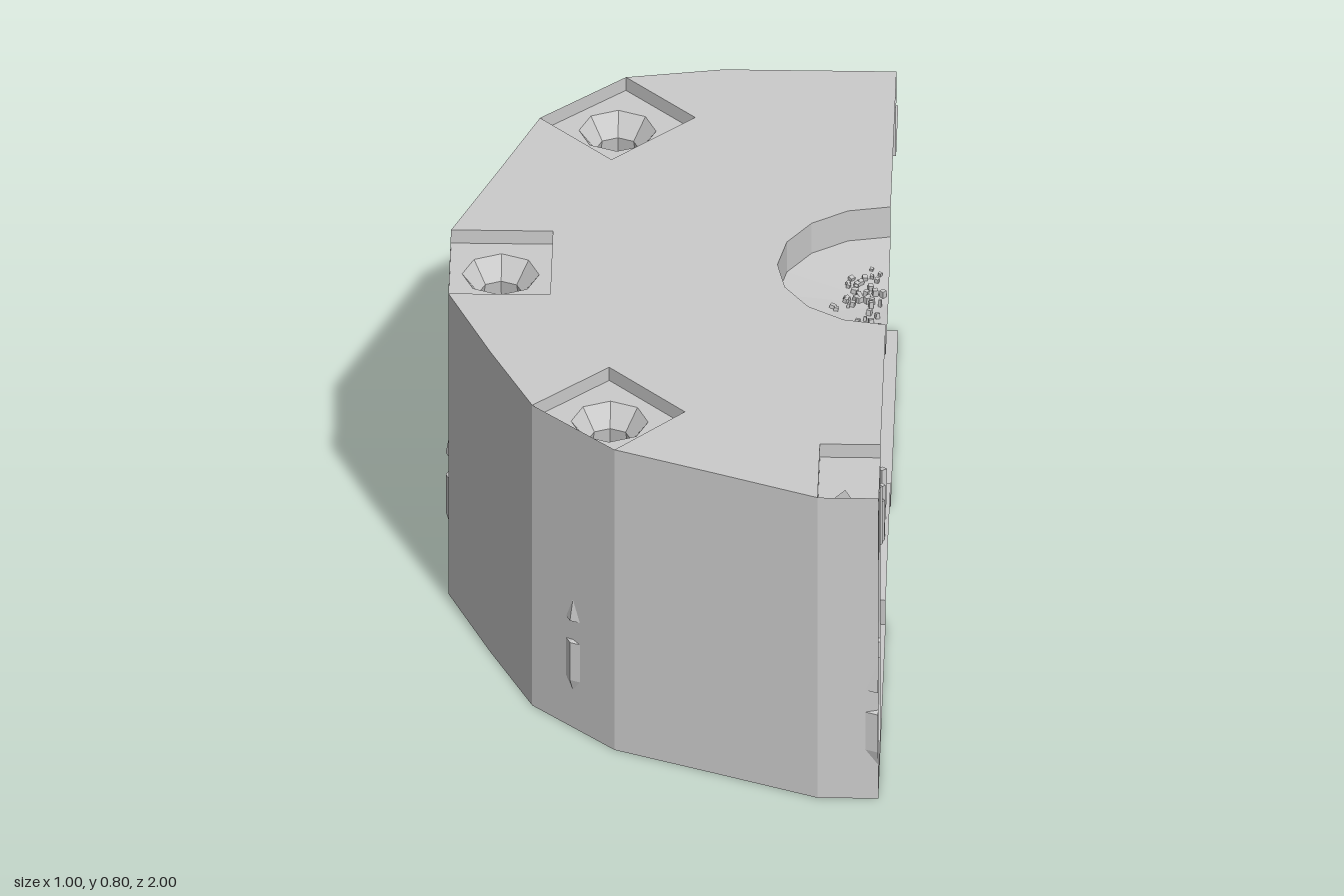
import * as THREE from 'three';

const H = 0.8, CUT = 0.5;
const mat = new THREE.MeshStandardMaterial({ color: 0xcccccc, flatShading: true, side: THREE.DoubleSide });

function add(parent, name, geometry, x = 0, y = 0, z = 0) {
  const mesh = new THREE.Mesh(geometry, mat);
  mesh.name = name;
  mesh.position.set(x, y, z);
  parent.add(mesh);
  return mesh;
}

// Upright wall following a plan path of [x, z] points
function wall(path, y0, y1) {
  const pos = [];
  for (let i = 0; i + 1 < path.length; i++) {
    const [ax, az] = path[i], [bx, bz] = path[i + 1];
    pos.push(ax, y0, az, bx, y0, bz, bx, y1, bz, ax, y0, az, bx, y1, bz, ax, y1, az);
  }
  const g = new THREE.BufferGeometry();
  g.setAttribute('position', new THREE.Float32BufferAttribute(pos, 3));
  g.computeVertexNormals();
  return g;
}

// Level sheet from a plan outline, with an optional hole
function sheet(outline, hole) {
  const toVec = ([x, z]) => new THREE.Vector2(x, z);
  const shape = new THREE.Shape(outline.map(toVec));
  if (hole) shape.holes.push(new THREE.Path(hole.map(toVec)));
  return new THREE.ShapeGeometry(shape).rotateX(Math.PI / 2);
}

// Points of an arc in plan, on the -x side of the centre when a runs PI/2..3PI/2
function arc(cx, cz, r, a0, a1, n) {
  return Array.from({ length: n + 1 }, (_, i) => {
    const a = a0 + (a1 - a0) * i / n;
    return [cx + r * Math.cos(a), cz + r * Math.sin(a)];
  });
}

// Square shafts built into the wall: outer corner, two inner corners, outer corner
const shafts = [
  { c: [-0.125, -0.615], q: [[-0.11, -0.787], [0.05, -0.62], [-0.135, -0.437], [-0.3, -0.61]] },
  { c: [-0.375, 0], q: [[-0.49, -0.13], [-0.26, -0.13], [-0.26, 0.14], [-0.49, 0.14]] },
  { c: [-0.115, 0.62], q: [[-0.29, 0.61], [-0.12, 0.445], [0.055, 0.63], [-0.1, 0.795]] },
];
const cutShaft = { c: [CUT, 0.876], q: [[0.363, 0.988], [0.363, 0.76], [CUT, 0.76], [CUT, 0.988]] };

// Octagonal column profile, radius and height
const columnProfile = [
  [0, 0.03], [0.085, 0.03], [0.1, 0.05], [0.124, 0.13], [0.124, 0.23], [0.108, 0.238], [0.108, 0.28],
  [0.124, 0.288], [0.05, 0.715], [0.087, 0.765],
].map(([r, y]) => new THREE.Vector2(r, y));

function rng(seed) {
  return () => (seed = (seed * 16807) % 2147483647) / 2147483647;
}

// Cluster of thin splayed crystals in a half disc; dir is 1 upward, -1 downward
function crystals(name, y, dir, seed, reach) {
  const group = new THREE.Group();
  group.name = name;
  const rand = rng(seed);
  for (let i = 0; i < 46; i++) {
    const r = 0.13 * Math.sqrt(rand()), a = Math.PI / 2 + Math.PI * rand();
    const x = r * Math.cos(a), z = r * Math.sin(a);
    const len = reach(r, rand(), i), w = 0.006 + 0.006 * rand();
    const g = new THREE.CylinderGeometry(w, w * 0.7, len, 4).translate(0, len / 2, 0);
    const m = add(group, 'crystal', g, CUT - 0.012 + x * 0.9, y, z);
    m.quaternion.setFromUnitVectors(new THREE.Vector3(0, 1, 0),
      new THREE.Vector3(x * 2, dir, z * 2).normalize());
  }
  return group;
}

export function createModel() {
  const model = new THREE.Group();
  const [s0, s1, s2] = shafts;

  // Plan of the outer wall from the door jamb round to the front cut
  const between01 = [-0.39, -0.38], between12 = [-0.39, 0.385], between23 = [0.13, 0.89];
  const outer = [
    [0.11, -0.825], s0.q[0], s0.q[3], between01, s1.q[0], s1.q[3], between12,
    s2.q[0], s2.q[3], between23, cutShaft.q[0], cutShaft.q[3],
  ];
  add(model, 'outerWall', wall(outer, 0, H));

  // Floor and ceiling, with a half-round opening along the cut
  const round = arc(CUT, 0, 0.25, Math.PI / 2, Math.PI * 1.5, 8);
  add(model, 'floor', sheet([
    ...round, [CUT, -1], [0.26, -1], [0.26, -0.785], [0.11, -0.785], ...outer,
  ]));
  add(model, 'ceiling', sheet([
    ...round, [CUT, -0.825], [0.11, -0.825], ...s0.q, between01, ...s1.q, between12, ...s2.q,
    between23, ...cutShaft.q.slice(0, 3),
  ]), 0, H);

  // Shafts, their sunken plates and the columns inside
  for (const s of [...shafts, cutShaft]) {
    const half = s === cutShaft;
    const group = new THREE.Group();
    group.name = half ? 'cutColumnBay' : 'columnBay';
    add(group, 'shaftWalls', wall(half ? s.q.slice(0, 3) : s.q, 0, H));
    const [cx, cz] = s.c;
    const plate = half
      ? sheet([...s.q, ...arc(cx, cz, 0.087, Math.PI / 2, Math.PI * 1.5, 4).map(([x, z]) => [Math.min(x, CUT), z])])
      : sheet(s.q, arc(cx, cz, 0.087, 0, Math.PI * 1.75, 7));
    add(group, 'capitalPlate', plate, 0, 0.765);
    add(group, 'column', half
      ? new THREE.LatheGeometry(columnProfile, 4, Math.PI, Math.PI)
      : new THREE.LatheGeometry(columnProfile, 8), cx, 0, cz);
    model.add(group);
  }

  // Doorway: recessed wall, header, lintel and passage
  const door = new THREE.Group();
  door.name = 'doorway';
  const zIn = -0.785, zLip = -0.825;
  add(door, 'recessWall', wall([[0.11, zLip], [0.11, zIn], [0.26, zIn]], 0, 0.73));
  add(door, 'header', wall([[0.26, zIn], [CUT, zIn]], 0.6, 0.73));
  add(door, 'lintel', wall([[0.11, zLip], [CUT, zLip]], 0.73, H));
  add(door, 'lintelUnderside', sheet([[0.11, zLip], [CUT, zLip], [CUT, zIn], [0.11, zIn]]), 0, 0.73);
  add(door, 'passageWall', wall([[0.26, zIn], [0.26, -1]], 0, 0.6));
  add(door, 'passageCeiling', sheet([[0.26, zIn], [CUT, zIn], [CUT, -1], [0.26, -1]]), 0, 0.6);
  model.add(door);

  // Raised half-round dais and matching sunken ceiling disc, both slightly conical
  const cone = (rt, rb, h) => new THREE.CylinderGeometry(rt, rb, h, 8, 1, true, Math.PI, Math.PI);
  add(model, 'daisRim', wall(round, 0, 0.065));
  add(model, 'daisTop', cone(0, 0.25, 0.015), CUT, 0.0725);
  add(model, 'ceilingDiscRim', wall(round, 0.72, H));
  add(model, 'ceilingDiscBase', cone(0.25, 0, 0.025), CUT, 0.7075);

  // Crystal clusters
  model.add(crystals('floorCrystals', 0.065, 1, 71,
    (r, t, i) => (i === 5 ? 0.23 : 0.1 + 0.08 * t)));
  model.add(crystals('ceilingCrystals', 0.715, -1, 929,
    (r, t) => 0.08 + 0.05 * t * (1 - r * 3)));
  return model;
}
